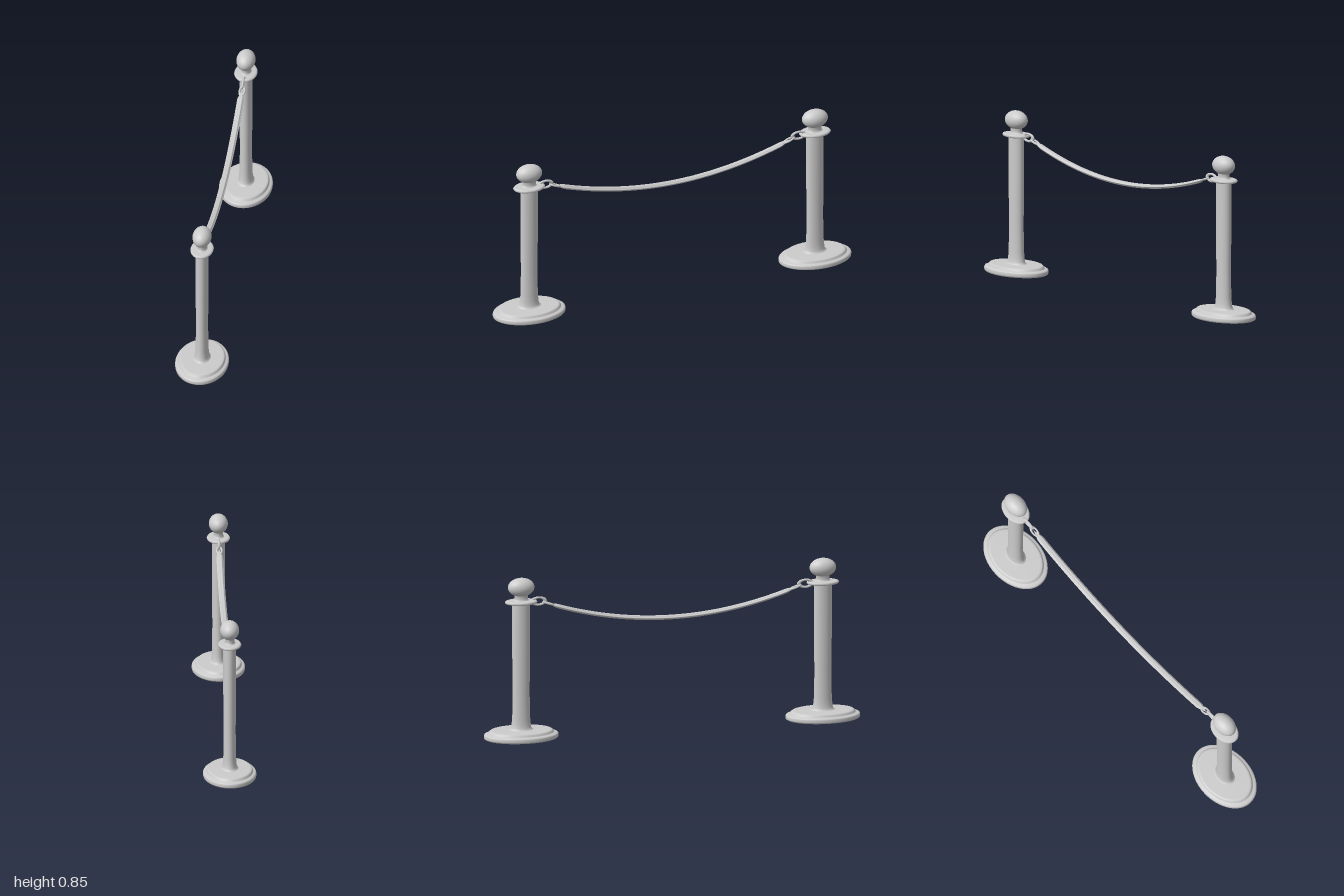
import * as THREE from 'three';
import { ParametricGeometry } from 'three/addons/geometries/ParametricGeometry.js';

const POST_Z = 0.805; // distance of each post from the middle
const STRETCH = 1.43; // posts are oval, longer along z

const material = new THREE.MeshStandardMaterial({ color: 0xcccccc, side: THREE.DoubleSide });

function add(parent, name, geometry) {
  const mesh = new THREE.Mesh(geometry, material);
  mesh.name = name;
  parent.add(mesh);
  return mesh;
}

function lathe(points) {
  return new THREE.LatheGeometry(points.map(([r, y]) => new THREE.Vector2(r, y)), 48);
}

// Height of the sagging rope at a given z
const ropeY = (z) => 0.589 + 0.262 * z * z;

function createPost() {
  const post = new THREE.Group();
  post.name = 'post';

  // Stepped foot, hollow underneath
  add(post, 'base', lathe([
    [0, 0.014], [0.03, 0.015], [0.04, 0.022], [0.09, 0.022], [0.105, 0.016], [0.112, 0.004],
    [0.118, 0.001], [0.131, 0.001], [0.136, 0.005], [0.137, 0.01], [0.137, 0.021], [0.135, 0.026],
    [0.13, 0.029], [0.122, 0.03], [0.119, 0.033], [0.117, 0.041], [0.113, 0.045], [0.105, 0.046],
    [0.08, 0.046], [0.03, 0.048],
  ]));

  // Shaft flaring into the foot
  add(post, 'shaft', lathe([
    [0.048, 0.045], [0.041, 0.05], [0.037, 0.06], [0.035, 0.08], [0.033, 0.11],
    [0.031, 0.25], [0.033, 0.45], [0.033, 0.72],
  ]));

  add(post, 'collar', lathe([
    [0.02, 0.713], [0.052, 0.713], [0.057, 0.715], [0.06, 0.721], [0.057, 0.727],
    [0.052, 0.729], [0.035, 0.73], [0.02, 0.731],
  ]));

  add(post, 'neck', lathe([
    [0.032, 0.728], [0.027, 0.732], [0.025, 0.74], [0.025, 0.755], [0.029, 0.765], [0.033, 0.772],
  ]));

  add(post, 'ballFinial', new THREE.SphereGeometry(0.049, 40, 28)).position.y = 0.799;

  post.scale.z = STRETCH;
  return post;
}

function createRope() {
  const end = 0.675;
  // Flattened, lengthwise-grooved section that tapers at both ends
  return new ParametricGeometry((u, v, target) => {
    const z = (v * 2 - 1) * end;
    const angle = u * Math.PI * 2;
    const taper = THREE.MathUtils.smoothstep((end - Math.abs(z)) / 0.07, 0, 1);
    const r = taper * (0.93 + 0.07 * Math.cos(angle * 6));
    target.set(Math.cos(angle) * 0.018 * r, ropeY(z) + Math.sin(angle) * 0.012 * r, z);
  }, 36, 120);
}

export function createModel() {
  const model = new THREE.Group();
  model.name = 'ropeBarrier';

  for (const side of [-1, 1]) {
    const post = createPost();
    post.position.z = side * POST_Z;
    model.add(post);

    // Upright link fixed to the post
    const link = add(model, 'postLink', new THREE.TorusGeometry(0.019, 0.006, 12, 32));
    link.position.set(0, 0.72, side * 0.712);
    link.rotation.y = Math.PI / 2;
    link.scale.x = 1.8;

    // Flat link joining the rope end
    const eye = add(model, 'ropeLink', new THREE.TorusGeometry(0.013, 0.005, 12, 32));
    eye.position.set(0, 0.704, side * 0.658);
    eye.rotation.x = Math.PI / 2 - side * 0.34;
    eye.scale.y = 2;
  }

  add(model, 'rope', createRope());
  return model;
}
